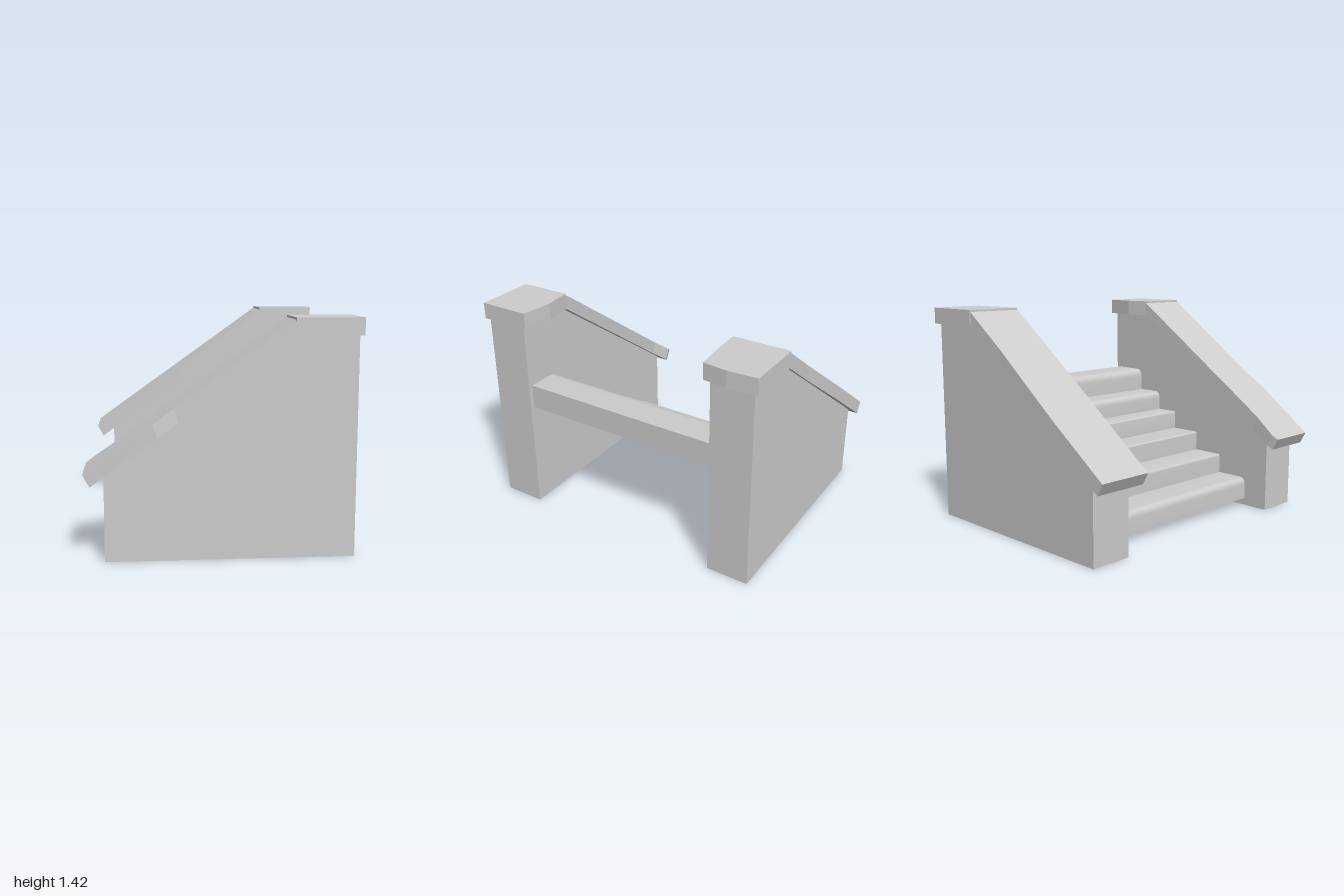
import * as THREE from 'three';
import { toCreasedNormals } from 'three/addons/utils/BufferGeometryUtils.js';

const stone = new THREE.MeshStandardMaterial({ color: 0xcccccc });
stone.name = 'stone';

function addMesh(parent, geometry, name) {
  const mesh = new THREE.Mesh(geometry, stone);
  mesh.name = name;
  parent.add(mesh);
}

// Side profile (x, y) extruded along z
function extrudeZ(shape, z0, z1) {
  const g = new THREE.ExtrudeGeometry(shape, { depth: z1 - z0, bevelEnabled: false, curveSegments: 6 });
  return g.translate(0, 0, z0);
}

function polygon(points) {
  return new THREE.Shape(points.map(([x, y]) => new THREE.Vector2(x, y)));
}

// Slanted coping slab lofted through stations [t, zMin, zMax], t = 0 at the foot, 1 at the top
function slopedSlab(stations) {
  const mix = THREE.MathUtils.lerp;
  const rings = stations.map(([t, z0, z1]) => {
    const top = [mix(-0.82, 0.41, t), mix(0.53, 1.412, t)];
    const bottom = [mix(-0.78, 0.42, t), mix(0.455, 1.32, t)];
    return [[...bottom, z0], [...bottom, z1], [...top, z1], [...top, z0]];
  });
  const pos = [];
  const quad = (a, b, c, d) => pos.push(...a, ...b, ...c, ...a, ...c, ...d);
  for (let i = 0; i < rings.length - 1; i++) {
    for (let k = 0; k < 4; k++) {
      const n = (k + 1) % 4;
      quad(rings[i][k], rings[i + 1][k], rings[i + 1][n], rings[i][n]);
    }
  }
  quad(...rings[0]);
  quad(...rings[rings.length - 1].slice().reverse());
  const g = new THREE.BufferGeometry();
  g.setAttribute('position', new THREE.Float32BufferAttribute(pos, 3));
  g.computeVertexNormals();
  return g;
}

// Flat coping block from a plan outline of [x, z] points
function topBlock(plan) {
  const shape = polygon(plan.map(([x, z]) => [x, -z]));
  const g = new THREE.ExtrudeGeometry(shape, { depth: 0.105, bevelEnabled: false });
  return g.rotateX(-Math.PI / 2).translate(0, 1.32, 0);
}

// Tread profile; nose rounds the upper front edge, heel the lower back edge
function treadShape(x0, x1, y0, y1, nose, heel, lean) {
  const s = new THREE.Shape();
  s.moveTo(x0, y0);
  s.lineTo(x1 - heel, y0);
  if (heel) s.quadraticCurveTo(x1, y0, x1, y0 + heel);
  s.lineTo(x1 - lean, y1);
  s.lineTo(x0 + nose, y1);
  if (nose) s.quadraticCurveTo(x0, y1, x0, y1 - nose);
  s.closePath();
  return s;
}

export function createModel() {
  const model = new THREE.Group();
  model.name = 'stoneStairs';

  // Side walls
  const wall = polygon([[-0.7, 0], [0.785, 0], [0.785, 1.32], [0.42, 1.32], [-0.7, 0.513]]);
  addMesh(model, extrudeZ(wall, 0.68, 0.96), 'frontWall');
  addMesh(model, extrudeZ(wall, -0.96, -0.68), 'backWall');

  // Worn sloping copings
  addMesh(model, slopedSlab([
    [0, 0.64, 0.975], [0.03, 0.625, 0.977], [0.15, 0.65, 0.987], [0.33, 0.645, 1], [0.43, 0.64, 0.975], [1, 0.62, 0.975],
  ]), 'frontSlopedCoping');
  addMesh(model, slopedSlab([
    [0, -1, -0.64], [0.33, -1, -0.627], [0.5, -0.993, -0.62], [0.75, -0.98, -0.613], [1, -0.982, -0.612],
  ]), 'backSlopedCoping');

  // Level coping blocks
  addMesh(model, topBlock([
    [0.412, 0.64], [0.412, 0.975], [0.81, 0.978], [0.81, 0.643], [0.6, 0.617],
  ]), 'frontTopCoping');
  addMesh(model, topBlock([
    [0.412, -0.987], [0.412, -0.612], [0.6, -0.622], [0.802, -0.642], [0.82, -0.8], [0.81, -0.99],
  ]), 'backTopCoping');

  // Treads: front x, back x, bottom y, top y, nose, heel, lean of the back face
  const treads = [
    [-0.52, -0.28, 0.05, 0.2, 0.05, 0, 0],
    [-0.285, -0.055, 0.2, 0.335, 0.015, 0.07, 0],
    [-0.06, 0.165, 0.335, 0.47, 0.012, 0, 0],
    [0.155, 0.355, 0.47, 0.597, 0.012, 0, 0.03],
    [0.32, 0.53, 0.595, 0.732, 0.05, 0, 0],
    [0.515, 0.755, 0.73, 0.89, 0.06, 0, 0],
  ];
  treads.forEach((t, i) => {
    addMesh(model, toCreasedNormals(extrudeZ(treadShape(...t), -0.69, 0.69), 0.6), 'tread' + (i + 1));
  });

  return model;
}
